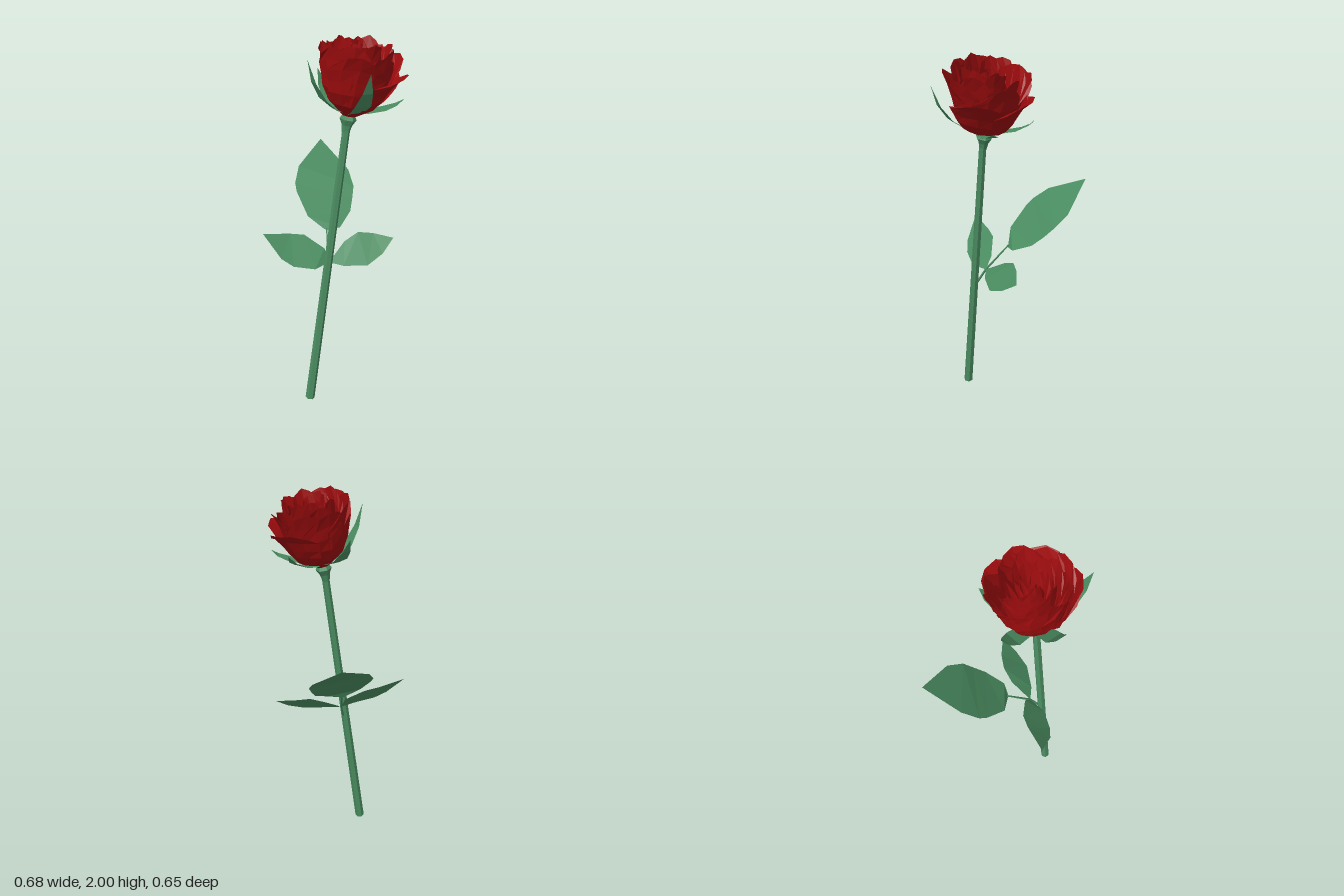
import * as THREE from 'three';

const V = (x, y, z) => new THREE.Vector3(x, y, z);
const mat = (color) => new THREE.MeshStandardMaterial({ color, flatShading: true, side: THREE.DoubleSide });
const green = mat(0x4a8c60);
const red = mat(0x9c0c0e);
const UP = V(0, 1, 0);

let seed = 7;
const rand = () => {
  seed = (seed * 16807) % 2147483647;
  return seed / 2147483647 - 0.5;
};

function addMesh(parent, name, geometry, material) {
  const mesh = new THREE.Mesh(geometry, material);
  mesh.name = name;
  parent.add(mesh);
  return mesh;
}

// Surface lofted through rows of points of equal length
function loft(rows) {
  const n = rows[0].length;
  const index = [];
  for (let i = 0; i < rows.length - 1; i++) {
    for (let j = 0; j < n - 1; j++) {
      const a = i * n + j, b = a + n;
      index.push(a, a + 1, b, a + 1, b + 1, b);
    }
  }
  const g = new THREE.BufferGeometry().setFromPoints(rows.flat());
  g.setIndex(index);
  g.computeVertexNormals();
  return g;
}

// Tapered low-poly rod between two points
function rod(parent, name, a, b, r0, r1, sides) {
  const dir = b.clone().sub(a);
  const mesh = addMesh(parent, name, new THREE.CylinderGeometry(r1, r0, dir.length(), sides), green);
  mesh.position.copy(a).lerp(b, 0.5);
  mesh.quaternion.setFromUnitVectors(UP, dir.normalize());
}

// Leaf blade from its base, tip and matching points on both edges
function leaf(parent, name, base, tip, edgeA, edgeB) {
  const rows = [[base, base]];
  edgeA.forEach((p, i) => rows.push([V(...p), V(...edgeB[i])]));
  rows.push([tip, tip]);
  addMesh(parent, name, loft(rows), green);
}

// Radius of the cup at relative height v
const cup = [0.035, 0.115, 0.15, 0.168, 0.18, 0.19];
function cupRadius(v) {
  const s = Math.min(v, 0.999) * 5, i = Math.floor(s);
  return THREE.MathUtils.lerp(cup[i], cup[i + 1], s - i);
}

// Cupped petal: one edge tucks inside its neighbour, the rim flares out to a point
function petal(angle, half, scale, height, flare) {
  const rows = [];
  for (let i = 0; i <= 5; i++) {
    const v = i / 5, row = [];
    for (let j = -2; j <= 2; j++) {
      const u = j / 2;
      const spread = half * (v < 0.8 ? 1 : 1 - (v - 0.8) * 1.6);
      const a = angle + u * spread + rand() * 0.05;
      const lip = flare * Math.max(0, (v - 0.5) * 2) ** 2 * (1 - 0.6 * u * u);
      const r = scale * cupRadius(v) + lip + u * 0.014 * v + rand() * 0.008;
      const h = height * v * (1 - 0.17 * u * u * v) + rand() * 0.012 * v;
      row.push(V(Math.cos(a) * r, h, Math.sin(a) * r));
    }
    rows.push(row);
  }
  return loft(rows);
}

export function createModel() {
  const root = new THREE.Group();
  root.name = 'flower';

  // Leaning stem
  rod(root, 'stem', V(-0.102, 0.004, 0.293), V(0.046, 1.57, 0.122), 0.025, 0.019, 6);

  // Stalk carrying three leaflets
  const leaves = new THREE.Group();
  leaves.name = 'leaves';
  root.add(leaves);
  const node = V(-0.045, 0.805, 0.15);
  rod(leaves, 'stalkLower', V(-0.03, 0.71, 0.205), node, 0.006, 0.006, 4);
  rod(leaves, 'stalkUpper', node, V(-0.11, 0.94, 0.04), 0.006, 0.004, 4);

  leaf(leaves, 'endLeaf', V(-0.1, 0.93, 0.04), V(-0.32, 1.29, -0.325),
    [[-0.12, 0.935, 0.045], [-0.21, 1.0, 0.06], [-0.305, 1.1, 0], [-0.33, 1.135, -0.03], [-0.35, 1.2, -0.115]],
    [[-0.05, 0.94, 0], [-0.04, 0.99, -0.11], [-0.055, 1.04, -0.17], [-0.07, 1.09, -0.22], [-0.13, 1.155, -0.28]]);
  leaf(leaves, 'rightLeaf', node, V(-0.34, 0.985, 0.312),
    [[-0.08, 0.87, 0.13], [-0.185, 0.94, 0.155], [-0.24, 0.955, 0.2]],
    [[-0.08, 0.8, 0.24], [-0.17, 0.828, 0.305], [-0.23, 0.87, 0.325]]);
  leaf(leaves, 'leftLeaf', node, V(0.215, 0.885, -0.105),
    [[-0.01, 0.88, 0.03], [0.04, 0.915, -0.035], [0.11, 0.905, -0.075]],
    [[0.03, 0.79, 0.13], [0.14, 0.785, 0.065], [0.19, 0.825, -0.02]]);

  // Blossom, tilted along the stem
  const blossom = new THREE.Group();
  blossom.name = 'blossom';
  blossom.position.set(0.052, 1.615, 0.113);
  blossom.quaternion.setFromUnitVectors(UP, V(0.14, 1, -0.15).normalize());
  root.add(blossom);

  // Swollen base under the petals
  const profile = [[0.018, -0.09], [0.026, -0.05], [0.042, -0.02], [0.03, 0.0], [0.055, 0.022], [0, 0.025]];
  addMesh(blossom, 'calyx', new THREE.LatheGeometry(profile.map((p) => new THREE.Vector2(...p)), 6), green);

  // Outer petals: two of them droop outwards
  const outer = [
    [-0.1, 0.25, 0.06], [-1.35, 0.25, 0.05], [-2.6, 0.31, 0.01], [2.4, 0.33, 0], [1.15, 0.31, 0.03],
  ];
  outer.forEach(([a, h, flare]) => addMesh(blossom, 'outerPetal', petal(a, 0.85, 1, h, flare), red));

  // Inner whorls: count, half angle, scale, height, flare, start angle
  const whorls = [
    [5, 0.8, 0.95, 0.325, 0.015, 0.5],
    [5, 0.8, 0.8, 0.345, 0.012, 0.1],
    [5, 0.8, 0.66, 0.36, 0.01, 0.75],
    [5, 0.85, 0.51, 0.355, 0.008, 0.3],
    [4, 1.0, 0.36, 0.35, 0.006, 0.9],
    [3, 1.2, 0.2, 0.34, 0.004, 0.2],
  ];
  for (const [count, half, scale, height, flare, start] of whorls) {
    for (let i = 0; i < count; i++) {
      const a = start + (i / count) * Math.PI * 2;
      addMesh(blossom, 'innerPetal', petal(a, half, scale, height + rand() * 0.025, flare), red);
    }
  }

  // Five pointed sepals curving out and up around the cup
  const base = V(0.052, 1.625, 0.113);
  const tips = [[-0.155, 1.8, 0.025], [-0.075, 1.91, 0.285], [0.245, 1.885, 0.303], [0.285, 1.69, -0.01], [0.075, 1.73, -0.165]];
  const widths = [0.018, 0.038, 0.042, 0.026, 0];
  for (const t of tips) {
    const tip = V(...t);
    const out = tip.clone().sub(base).setY(0);
    const side = V(-out.z, 0, out.x).normalize();
    const bend = base.clone().addScaledVector(out, 0.8);
    bend.y += (tip.y - base.y) * 0.12;
    const curve = new THREE.QuadraticBezierCurve3(base, bend, tip);
    const rows = widths.map((w, i) => {
      const p = curve.getPoint(i / 4);
      return [-w, w].map((s) => p.clone().addScaledVector(side, s));
    });
    addMesh(root, 'sepal', loft(rows), green);
  }
  return root;
}
